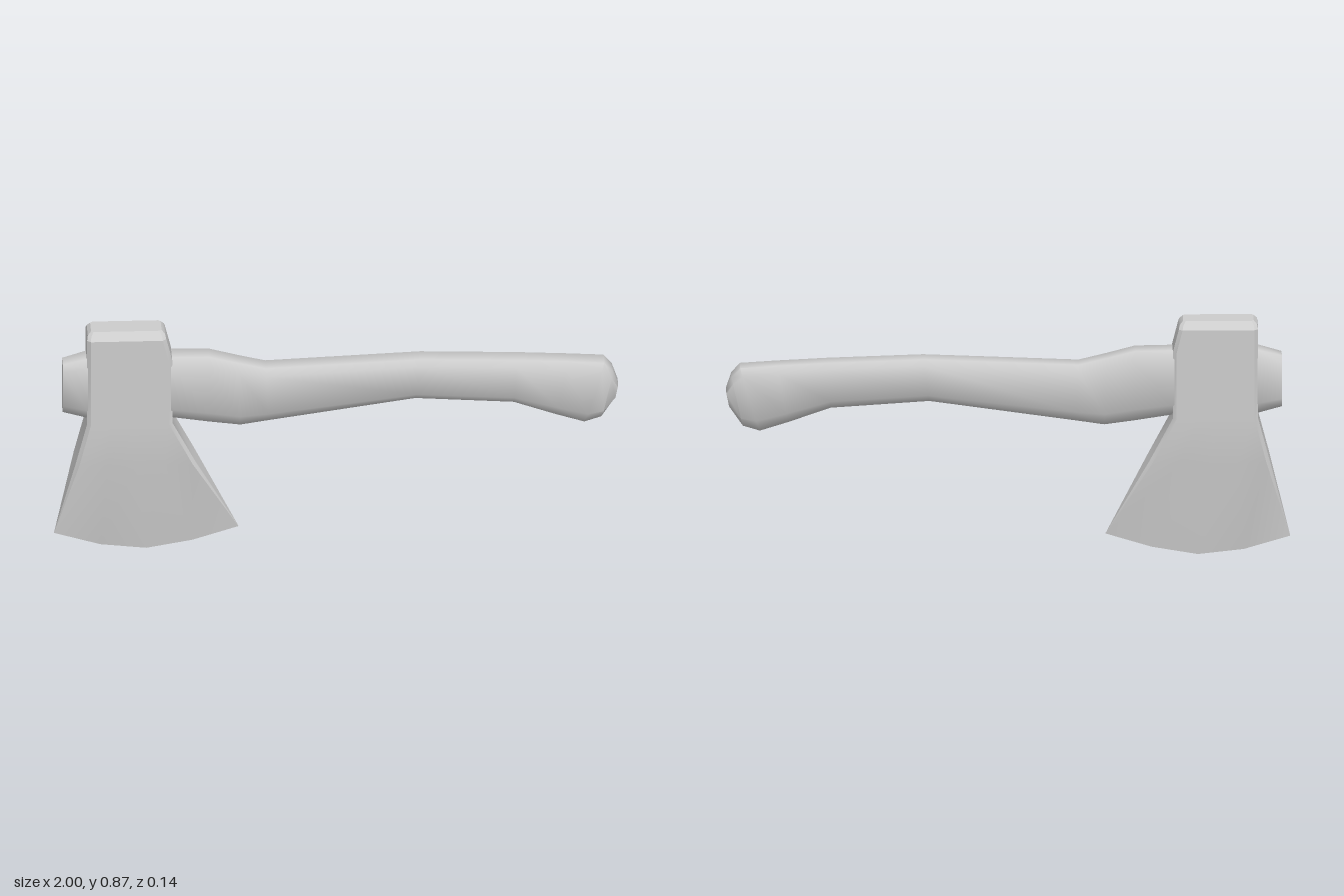
import * as THREE from 'three';
import { toCreasedNormals } from 'three/addons/utils/BufferGeometryUtils.js';

// Skin a list of closed rings and cap both ends
function loft(rings, crease) {
  const n = rings[0].length, index = [];
  for (let r = 0; r < rings.length - 1; r++) {
    for (let i = 0; i < n; i++) {
      const a = r * n + i, b = r * n + (i + 1) % n;
      index.push(a, b, b + n, a, b + n, a + n);
    }
  }
  const last = (rings.length - 1) * n;
  for (let i = 1; i < n - 1; i++) {
    index.push(0, i + 1, i, last, last + i, last + i + 1);
  }
  const geometry = new THREE.BufferGeometry();
  geometry.setAttribute('position', new THREE.Float32BufferAttribute(rings.flat(2), 3));
  geometry.setIndex(index);
  return toCreasedNormals(geometry, crease);
}

// Chamfered section: [sideways fraction, height fraction]
const SECTION = [[-0.6, 1], [0.6, 1], [1, 0.89], [1, 0.19], [0.4, 0], [-0.4, 0], [-1, 0.19], [-1, 0.89]];

function handleGeometry() {
  // top x, top y, bottom x, bottom y, half width
  const stations = [
    [-0.97, 0.742, -0.97, 0.552, 0.048],
    [-0.885, 0.765, -0.885, 0.53, 0.06],
    [-0.58, 0.765, -0.58, 0.525, 0.062],
    [-0.45, 0.763, -0.45, 0.505, 0.061],
    [-0.35, 0.737, -0.34, 0.49, 0.058],
    [-0.25, 0.713, -0.24, 0.505, 0.057],
    [0.3, 0.736, 0.28, 0.58, 0.057],
    [0.64, 0.725, 0.63, 0.557, 0.057],
    [0.82, 0.716, 0.78, 0.505, 0.057],
    [0.95, 0.708, 0.88, 0.474, 0.057],
    [0.98, 0.675, 0.94, 0.492, 0.053],
    [1, 0.62, 0.988, 0.56, 0.035],
  ];
  const rings = stations.map(([xt, yt, xb, yb, hz]) => SECTION.map(([u, v]) => [
    xb + (xt - xb) * v, yb + (yt - yb) * v, u * hz,
  ]));
  return loft(rings, 1.0);
}

function headGeometry() {
  // height, left x, right x, half thickness, side bevel
  const levels = [
    [0, -1, -0.345, 0.0008, 0.0005],
    [0.36, -0.927, -0.498, 0.07, 0.013],
    [0.52, -0.885, -0.583, 0.07, 0.013],
    [0.765, -0.885, -0.583, 0.07, 0.013],
    [0.848, -0.885, -0.604, 0.07, 0.013],
    [0.862, -0.882, -0.608, 0.056, 0.012],
    [0.875, -0.87, -0.62, 0.043, 0.008],
  ];
  const edge = [0.068, 0.02, 0.002, 0.03, 0.08]; // curved cutting edge
  const rings = levels.map(([y, xl, xr, hz, b], row) => {
    const face = edge.map((rise, i) => [
      xl + b + (xr - xl - 2 * b) * i / 4, row === 0 ? rise : y, hz,
    ]);
    const yl = row === 0 ? edge[0] : y, yr = row === 0 ? edge[4] : y, s = Math.max(hz - b, hz * 0.4);
    const back = face.map(([x, h, z]) => [x, h, -z]).reverse();
    return [...face, [xr, yr, s], [xr, yr, -s], ...back, [xl, yl, -s], [xl, yl, s]];
  });
  return loft(rings, 0.5);
}

export function createModel() {
  const grey = new THREE.MeshStandardMaterial({ color: 0xcccccc });
  grey.name = 'light grey';
  const group = new THREE.Group();
  group.name = 'hatchet';
  const add = (name, geometry) => {
    const mesh = new THREE.Mesh(geometry, grey);
    mesh.name = name;
    group.add(mesh);
  };
  add('handle', handleGeometry());
  add('axeHead', headGeometry());
  return group;
}
